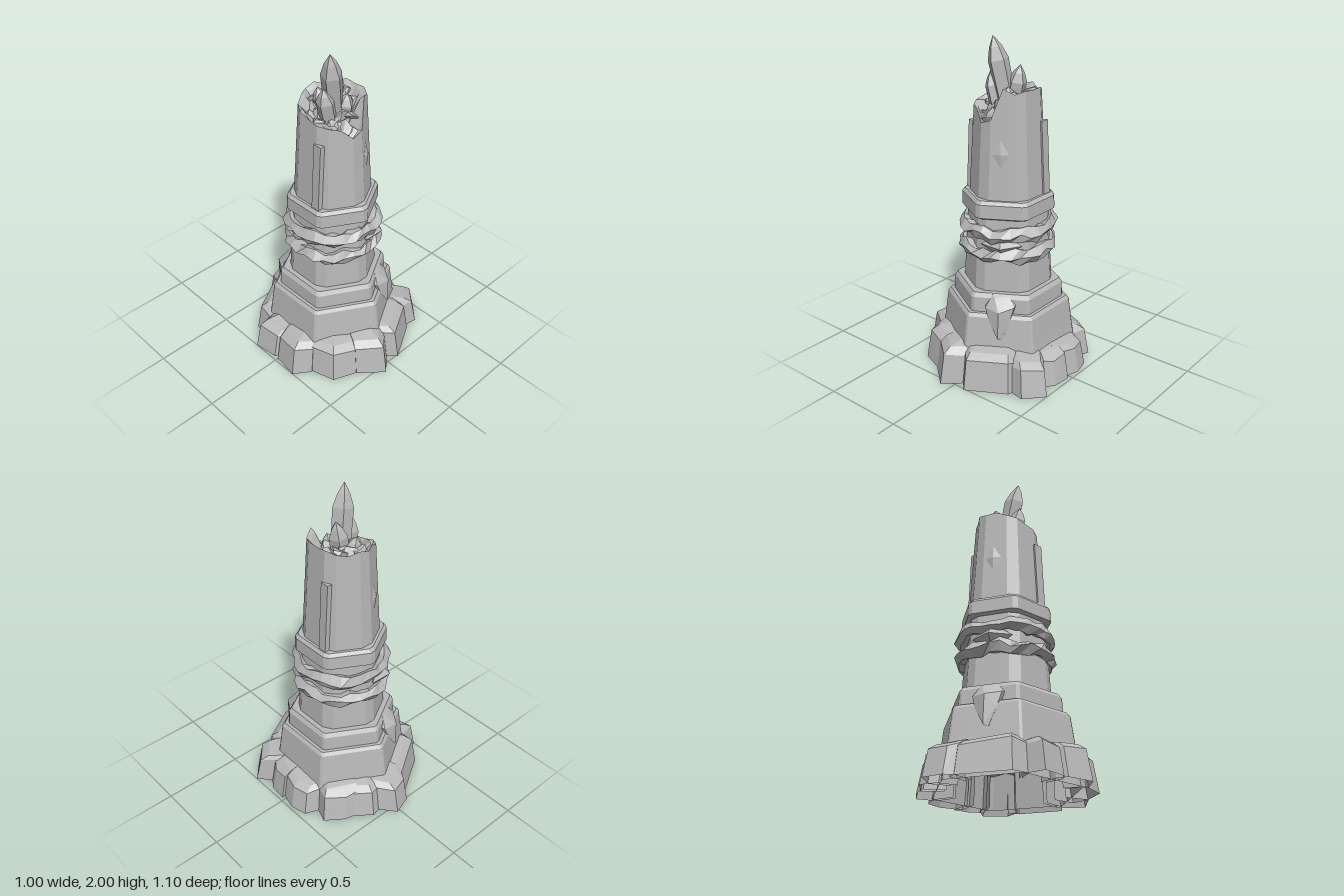
import * as THREE from 'three';
import { ConvexGeometry } from 'three/addons/geometries/ConvexGeometry.js';

const stone = new THREE.MeshStandardMaterial({ color: 0xb8b8b8, side: THREE.DoubleSide });
stone.name = 'stone grey';
const V = (x, y, z) => new THREE.Vector3(x, y, z);

// repeatable noise in -1..1
const noise = (a, b = 0) => {
  const s = Math.sin(a * 127.1 + b * 311.7 + 4.3) * 43758.5453;
  return (s - Math.floor(s)) * 2 - 1;
};

function flat(geo) {
  const g = geo.index ? geo.toNonIndexed() : geo;
  g.computeVertexNormals();
  return g;
}

// skin a stack of rings (bottom to top, angle from +z to +x), optionally closed on top
function loft(rings, capped = false) {
  const n = rings[0].length, pos = [], idx = [];
  rings.forEach(r => r.forEach(p => pos.push(p.x, p.y, p.z)));
  for (let i = 0; i < rings.length - 1; i++) {
    for (let j = 0; j < n; j++) {
      const a = i * n + j, b = i * n + (j + 1) % n;
      idx.push(a, b, a + n, b, b + n, a + n);
    }
  }
  if (capped) {
    const k = pos.length / 3, last = k - n;
    const c = rings.at(-1).reduce((s, p) => s.add(p), V(0, 0, 0)).divideScalar(n);
    pos.push(c.x, c.y, c.z);
    for (let j = 0; j < n; j++) idx.push(k, last + j, last + (j + 1) % n);
  }
  const g = new THREE.BufferGeometry();
  g.setAttribute('position', new THREE.Float32BufferAttribute(pos, 3));
  g.setIndex(idx);
  return flat(g);
}

// hexagon with cut corners: two points per corner and one in the middle of each side
function hexRing(R, yAt, cut) {
  const ring = [];
  for (let k = 0; k < 6; k++) {
    const a = k * Math.PI / 3;
    for (const d of [-cut, cut, Math.PI / 6]) {
      const r = R * Math.cos(Math.PI / 6) / Math.cos(Math.PI / 6 - Math.abs(d));
      const y = typeof yAt === 'function' ? yAt(ring.length, k, d) : yAt;
      ring.push(V(Math.sin(a + d) * r, y, Math.cos(a + d) * r));
    }
  }
  return ring;
}

// boulder shell without its underside and the wall buried in the plinth
function boulderShell(points) {
  const src = new ConvexGeometry(points).attributes.position, pos = [];
  const tri = new THREE.Triangle(), n = V(0, 0, 0), mid = V(0, 0, 0);
  for (let i = 0; i < src.count; i += 3) {
    tri.setFromAttributeAndIndices(src, i, i + 1, i + 2);
    tri.getNormal(n);
    tri.getMidpoint(mid).setY(0).normalize();
    if (n.y < -0.7 || n.dot(mid) < -0.5) continue;
    for (const p of [tri.a, tri.b, tri.c]) pos.push(p.x, p.y, p.z);
  }
  const g = new THREE.BufferGeometry();
  g.setAttribute('position', new THREE.Float32BufferAttribute(pos, 3));
  return flat(g);
}

export function createModel() {
  const model = new THREE.Group();
  const add = (name, geo, parent = model) => {
    const m = new THREE.Mesh(geo, stone);
    m.name = name;
    parent.add(m);
    return m;
  };
  const group = name => {
    const g = new THREE.Group();
    g.name = name;
    model.add(g);
    return g;
  };

  // hollow stepped courses, each ending inside the next: [height, corner radius]
  const course = (name, levels, cut) => add(name, loft(levels.map(([y, R]) => hexRing(R, y, cut))));
  course('plinth', [[0.01, 0.435], [0.25, 0.4], [0.41, 0.378], [0.43, 0.36], [0.43, 0.32]], 0.02);
  course('step', [[0.42, 0.338], [0.52, 0.334], [0.545, 0.315], [0.545, 0.26]], 0.03);
  course('lowerShaft', [[0.54, 0.281], [1.01, 0.252]], 0.13);
  course('collar', [[0.99, 0.235], [0.99, 0.265], [1.0, 0.283], [1.08, 0.28], [1.1, 0.262], [1.1, 0.22]], 0.06);

  // broken upper shaft with a hollow top
  const tops = [1.55, 1.72, 1.71, 1.7, 1.66, 1.62];
  const rim = (i, k, d) => {
    if (d < 0.4) return tops[k] + d * (k === 0 ? 0.15 : 0) + 0.015 * noise(i);
    return (tops[k] + tops[(k + 1) % 6]) / 2 + (k === 0 ? 0.105 : 0.02 * noise(i, 2));
  };
  const outer = hexRing(0.205, rim, 0.17);
  outer.forEach(p => {
    const s = 1 + (1.7 - p.y) * 0.3;
    p.x *= s; p.z *= s;
  });
  const inset = (s, drop) => outer.map((p, i) => V(p.x * s, p.y - drop + 0.015 * noise(i, 5), p.z * s));
  const floor = outer.map((p, i) => V(p.x * 0.55, 1.59 + 0.02 * noise(i, 7), p.z * 0.55));
  add('upperShaft', loft([hexRing(0.245, 1.09, 0.17), outer, inset(0.88, 0.015), floor], true));

  // opposite pairs: a narrow leaning slab on each flank
  const slabs = group('shaftSlabs');
  for (const [deg, top] of [[90, 1.53], [270, 1.51]]) {
    const h = top - 1.08, pivot = new THREE.Group();
    pivot.rotation.y = deg * Math.PI / 180;
    slabs.add(pivot);
    const m = add('slab', new THREE.BoxGeometry(0.055, h, 0.03), pivot);
    m.position.set(0.085, 1.08 + h / 2, 0.208 - h * 0.028);
    m.rotation.x = -0.055;
  }

  // ornaments on two opposite sides
  for (const [side, deg] of [['front', 30], ['back', 210]]) {
    const g = group(side + 'Ornaments');
    g.rotation.y = deg * Math.PI / 180;
    add('shield', new ConvexGeometry([
      V(-0.085, 0.48, 0.28), V(-0.045, 0.54, 0.28), V(0.055, 0.535, 0.28), V(0.095, 0.49, 0.28),
      V(-0.085, 0.47, 0.31), V(-0.03, 0.525, 0.3), V(0.085, 0.48, 0.315), V(0, 0.46, 0.36),
      V(-0.005, 0.29, 0.36), V(0.02, 0.28, 0.345), V(0.03, 0.3, 0.325), V(-0.06, 0.39, 0.33), V(0.06, 0.39, 0.33),
    ]), g);
    const diamond = add('diamond', flat(new THREE.OctahedronGeometry(1)), g);
    diamond.scale.set(0.048, 0.08, 0.012);
    diamond.position.set(-0.01, 1.37, 0.198);
    diamond.rotation.x = -0.055;
    const boss = add('boss', flat(new THREE.OctahedronGeometry(1)), g);
    boss.scale.set(0.12, 0.08, 0.07);
    boss.position.set(0, 0.84, 0.235);
  }

  // two jagged bands round the lower shaft
  const N = 30, T = 5;
  [[0.775, 1], [0.905, 2]].forEach(([y, seed]) => {
    const geo = new THREE.TorusGeometry(0.25, 0.042, T, N).rotateX(Math.PI / 2);
    const p = geo.attributes.position;
    for (let k = 0; k < p.count; k++) {
      const i = (k % (N + 1)) % N, j = Math.floor(k / (N + 1)) % T, key = i * 7 + j + seed * 400;
      const s = 1 + 0.045 * noise(key, 1);
      const wave = 0.008 * Math.sin(i * Math.PI * 2 / 5 + seed * 2);
      p.setXYZ(k, p.getX(k) * s, y + p.getY(k) + wave + 0.014 * noise(key, 2), p.getZ(k) * s);
    }
    add(seed === 1 ? 'lowerBand' : 'upperBand', flat(geo));
  });

  // boulders round the foot: outer footprint [x, z, x, z, ...] and height
  const footprints = [
    [[-0.13, -0.45, -0.1, -0.51, 0.02, -0.55, 0.1, -0.45], 0.2],
    [[-0.08, -0.45, -0.13, -0.46, -0.39, -0.3, -0.4, -0.2], 0.21],
    [[-0.38, -0.21, -0.5, -0.18, -0.48, -0.03, -0.43, 0.01], 0.2],
    [[-0.42, -0.03, -0.48, 0, -0.5, 0.16, -0.4, 0.23], 0.21],
    [[-0.4, 0.21, -0.35, 0.37, -0.2, 0.43, -0.1, 0.42], 0.215],
    [[-0.21, 0.43, -0.07, 0.55, 0.02, 0.47, 0.04, 0.43], 0.225],
    [[0.01, 0.44, 0.08, 0.51, 0.31, 0.38, 0.33, 0.31], 0.215],
    [[0.29, 0.35, 0.4, 0.37, 0.5, 0.26, 0.42, 0.17], 0.2],
    [[0.42, 0.2, 0.47, 0.13, 0.48, 0.02], 0.19],
    [[0.45, 0.06, 0.485, -0.08, 0.46, -0.18, 0.36, -0.22], 0.19],
    [[0.37, -0.19, 0.41, -0.3, 0.3, -0.38, 0.21, -0.4], 0.2],
    [[0.26, -0.38, 0.15, -0.47, 0.1, -0.46, 0.05, -0.42], 0.19],
  ];
  const boulders = group('boulders');
  footprints.forEach(([f, h], b) => {
    const pts = [];
    for (let i = 0; i < f.length; i += 2) {
      const [x, z] = [f[i], f[i + 1]], dy = 0.012 * noise(b, i);
      pts.push(V(x, 0.005, z), V(x * 0.94, h * 0.85 + dy, z * 0.94), V(x * 0.85, h + dy, z * 0.85),
        V(x * 0.72, 0.01, z * 0.72), V(x * 0.7, h + 0.015 + dy, z * 0.7));
    }
    add('boulder', boulderShell(pts), boulders);
  });

  // loose rubble filling the hollow, higher towards the back right
  const rubble = group('rubble');
  for (let i = 0; i < 18; i++) {
    const ringed = i < 12, a = i * Math.PI / (ringed ? 6 : 3) + 0.2, r = ringed ? 0.125 + 0.01 * noise(i, 4) : 0.06;
    const pts = [];
    for (let k = 0; k < 10; k++) {
      pts.push(V(noise(i, k + 10), noise(i, k + 30), noise(i, k + 50)).normalize().multiplyScalar(ringed ? 0.055 : 0.065));
    }
    const y = (ringed ? 1.615 : 1.63) + 0.055 * Math.cos(a - 2.4) + 0.012 * noise(i);
    add('rock', new ConvexGeometry(pts), rubble).position.set(Math.sin(a) * r, y, Math.cos(a) * r);
  }

  // crystals on top: base, tip, radius
  const crystals = group('crystals');
  for (const [base, tip, r] of [
    [V(0.02, 1.52, 0), V(-0.068, 2, 0.05), 0.062],
    [V(-0.03, 1.5, 0.02), V(-0.1, 1.8, 0.03), 0.055],
    [V(0.0, 1.5, -0.02), V(0.065, 1.84, -0.03), 0.055],
    [V(0.03, 1.5, 0.03), V(0.05, 1.73, 0.06), 0.05],
    [V(0, 1.5, -0.04), V(-0.03, 1.74, -0.09), 0.05],
  ]) {
    const axis = tip.clone().sub(base), L = axis.length();
    const profile = [[0, 0], [r * 0.9, 0], [r, L * 0.72], [r * 0.6, L * 0.87], [0, L]];
    const m = add('crystal', flat(new THREE.LatheGeometry(profile.map(([x, y]) => new THREE.Vector2(x, y)), 5)), crystals);
    m.position.copy(base);
    m.quaternion.setFromUnitVectors(V(0, 1, 0), axis.normalize());
  }
  return model;
}
